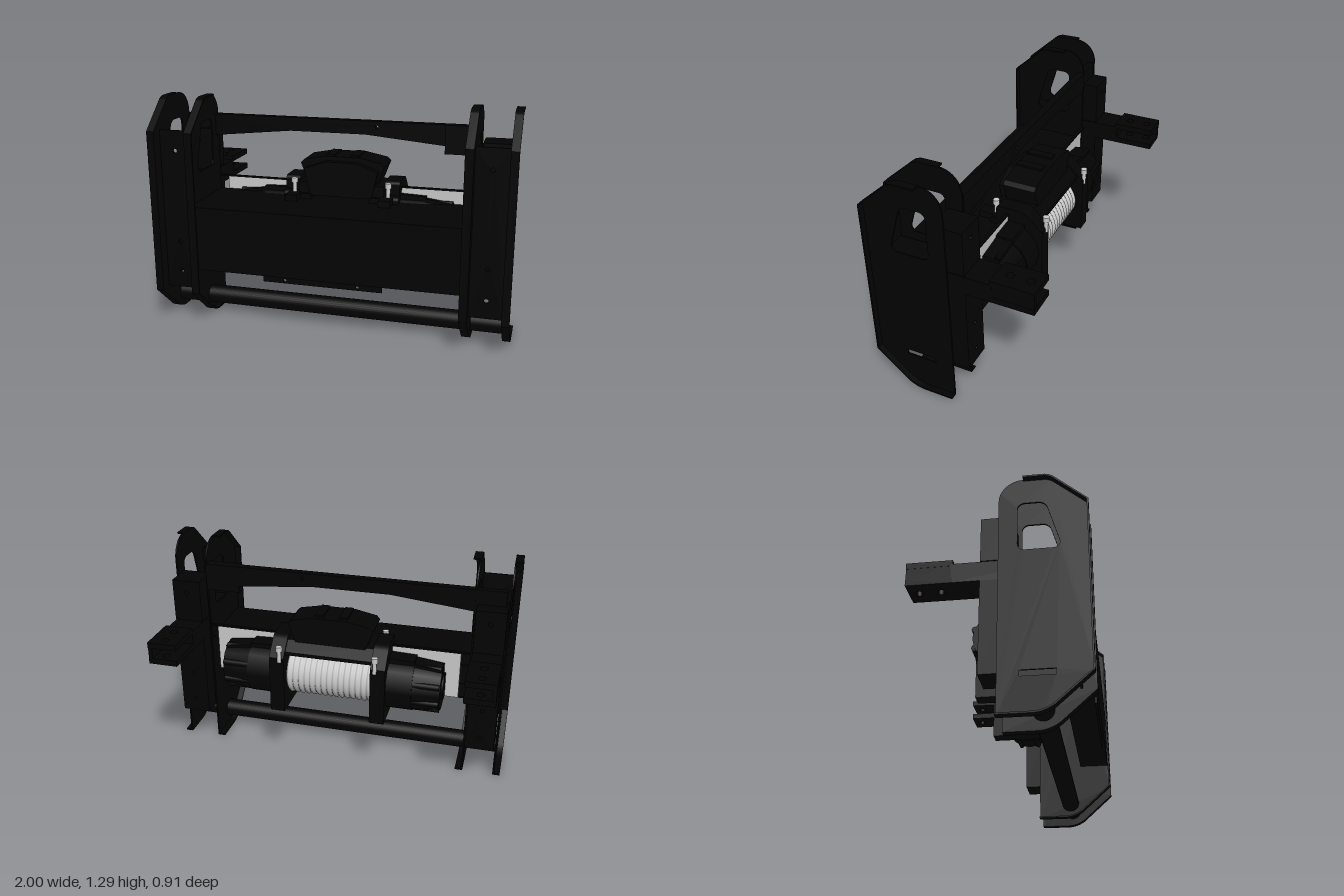
import * as THREE from 'three';

const black = new THREE.MeshStandardMaterial({ color: 0x030303 });
const grey = new THREE.MeshStandardMaterial({ color: 0xcccccc });

export function createModel() {
  const root = new THREE.Group();

  const add = (name, geo, mat = black) => {
    const m = new THREE.Mesh(geo, mat);
    m.name = name;
    root.add(m);
    return m;
  };
  // box given by its limits on each axis
  const box = (name, x0, x1, y0, y1, z0, z1, mat) =>
    add(name, new THREE.BoxGeometry(Math.abs(x1 - x0), y1 - y0, z1 - z0)
      .translate((x0 + x1) / 2, (y0 + y1) / 2, (z0 + z1) / 2), mat);
  // cylinder lying along x
  const rod = (name, x0, x1, r0, r1, y, z, n = 32) =>
    add(name, new THREE.CylinderGeometry(r1, r0, x1 - x0, n)
      .rotateZ(-Math.PI / 2).translate((x0 + x1) / 2, y, z));
  // polygon with corners [x, y, radius]
  const trace = (path, pts) => {
    pts.forEach(([x, y, r = 0], i) => {
      const p = new THREE.Vector2(x, y);
      const toward = (q) => new THREE.Vector2(q[0], q[1]).sub(p).setLength(r).add(p);
      const a = toward(pts[(i + pts.length - 1) % pts.length]);
      const b = toward(pts[(i + 1) % pts.length]);
      if (i === 0) path.moveTo(a.x, a.y); else path.lineTo(a.x, a.y);
      if (r) {
        const k = 0.55;
        path.bezierCurveTo(a.x + (x - a.x) * k, a.y + (y - a.y) * k,
          b.x + (x - b.x) * k, b.y + (y - b.y) * k, b.x, b.y);
      }
    });
    path.closePath();
    return path;
  };
  const circle = (x, y, r) => new THREE.Path().absarc(x, y, r, 0, Math.PI * 2, true);
  const extrude = (pts, holes, depth) => {
    const s = trace(new THREE.Shape(), pts);
    s.holes.push(...holes);
    return new THREE.ExtrudeGeometry(s, { depth, bevelEnabled: false, curveSegments: 12 });
  };
  // profile drawn in (z, y), thickened along x from x0 to x1
  const sidePlate = (name, pts, holes, x0, x1) =>
    add(name, extrude(pts, holes, x1 - x0).rotateY(-Math.PI / 2).translate(x1, 0, 0));
  // profile drawn in (x, y), thickened along z
  const frontPlate = (name, pts, holes, z0, z1, mat) =>
    add(name, extrude(pts, holes, z1 - z0).translate(0, 0, z0), mat);

  // upright sheet outline and window
  const outline = [[0.005, 0], [0.235, 0, 0.06], [0.455, 0.195], [0.455, 1.12],
    [0.265, 1.29, 0.03], [0.005, 1.29, 0.125]];
  const windowPts = [[0.1, 0.87, 0.035], [0.1, 1.145, 0.035], [0.24, 1.145, 0.035], [0.32, 0.87, 0.045]];
  const slotPts = [[0.11, 0.195], [0.11, 0.225], [0.28, 0.225], [0.28, 0.195]];

  // flange strip: follows the bottom, front and top of the outline, open at the rear
  const edge = trace(new THREE.Path(), outline).getPoints(12).slice(0, -1)
    .filter((p) => p.y < 1 || p.x > 0.129);
  const inset = edge.map((p, i) => {
    const t = edge[Math.min(i + 1, edge.length - 1)].clone().sub(edge[Math.max(i - 1, 0)]).normalize();
    return [p.x - t.y * 0.009, p.y + t.x * 0.009];
  });
  const strip = [...edge.map((p) => [p.x, p.y]), ...inset.reverse()];

  for (const s of [-1, 1]) {
    const span = (a, b) => (s > 0 ? [a, b] : [-b, -a]);
    // pair of flanged sheets, flanges turned away from each other
    const opening = () => trace(new THREE.Path(), windowPts);
    sidePlate('outerSheet', outline, [opening(), trace(new THREE.Path(), slotPts)], ...span(0.957, 0.966));
    sidePlate('outerFlange', strip, [], ...span(0.96, 1));
    sidePlate('innerSheet', outline, [opening()], ...span(0.771, 0.78));
    sidePlate('innerFlange', strip, [], ...span(0.735, 0.777));

    // recessed web and rear mounting boxes, bored through
    const cx = s * 0.87;
    const column = (name, w, y0, y1, bores, z0, z1) =>
      frontPlate(name, [[cx - w, y0], [cx + w, y0], [cx + w, y1], [cx - w, y1]],
        bores.map((y) => circle(cx, y, 0.012)), z0, z1);
    column('uprightWeb', 0.092, 0.2, 1.12, [0.3, 0.475, 1.005], 0.375, 0.385);
    column('upperMountBox', 0.083, 0.83, 1.077, [1.005], -0.085, 0.08);
    column('lowerMountBox', 0.083, 0.22, 0.72, [0.3, 0.475], -0.085, 0.08);

    // towing arm ending in a drilled fork, closed on its outer side
    box('towArm', s * 0.787, s * 0.953, 0.72, 0.826, -0.23, 0.375);
    for (const y of [0.72, 0.815]) {
      const fork = extrude([[cx - 0.083, 0.22], [cx + 0.083, 0.22], [cx + 0.083, 0.455], [cx - 0.083, 0.455]],
        [circle(cx, 0.29, 0.021), circle(cx, 0.4, 0.021)], 0.033);
      add('towFork', fork.rotateX(-Math.PI / 2).translate(0, y, 0));
    }
    box('towForkWall', s * 0.93, s * 0.952, 0.722, 0.846, -0.454, -0.22);

    // winch backing panel with a folded top edge
    box('backingPanel', s * 0.3, s * 0.722, 0.5, 0.78, -0.012, 0.0, grey);
    box('panelEdge', s * 0.3, s * 0.772, 0.778, 0.787, -0.014, 0.004);
  }

  // folded bumper channel, open at the rear
  box('bumperFront', -0.772, 0.772, 0.34, 0.705, 0.433, 0.444);
  box('bumperTop', -0.772, 0.772, 0.694, 0.705, 0.005, 0.44);
  box('bumperBottom', -0.772, 0.772, 0.34, 0.351, 0.27, 0.44);
  frontPlate('lowerTab', [[-0.35, 0.305], [0.32, 0.305], [0.32, 0.36], [-0.35, 0.36]],
    [circle(-0.225, 0.322, 0.009), circle(0.185, 0.322, 0.009)], 0.423, 0.434);

  // arched top bar with its end bracket
  frontPlate('topBar', [[-0.772, 1.035], [-0.31, 1.083], [0.13, 1.083], [0.58, 1.042], [0.772, 1.03],
    [0.772, 1.16], [-0.772, 1.16]], [circle(0.195, 1.128, 0.01)], 0, 0.045);
  box('topBarBracket', 0.58, 0.772, 1.0, 1.16, 0.005, 0.06);
  box('topBarEnd', -0.94, -0.77, 1.05, 1.16, 0.005, 0.045);

  // lower tube
  rod('lowerTube', -0.966, 0.966, 0.053, 0.053, 0.098, 0.2);

  // fairlead ring and its carrier behind the bumper face
  const slot = trace(new THREE.Path(), [[-0.24, 0.475, 0.034], [0.24, 0.475, 0.034], [0.24, 0.545, 0.034], [-0.24, 0.545, 0.034]]);
  frontPlate('fairlead', [[-0.32, 0.435, 0.07], [0.32, 0.435, 0.07], [0.32, 0.585, 0.07], [-0.32, 0.585, 0.07]],
    [slot], 0.28, 0.33, grey);
  box('fairleadCarrier', -0.36, 0.36, 0.345, 0.7, 0.33, 0.341);

  // winch drum wound with rope
  const Y = 0.578, Z = -0.04;
  const wraps = 15, pitch = 0.5 / wraps, profile = [new THREE.Vector2(0, -0.25)];
  for (let i = 0; i < wraps; i++)
    for (const t of [0, 0.2, 0.5, 0.8])
      profile.push(new THREE.Vector2(0.125 + 0.015 * Math.sin(t * Math.PI), -0.25 + (i + t) * pitch));
  profile.push(new THREE.Vector2(0.125, 0.25), new THREE.Vector2(0, 0.25));
  add('ropeDrum', new THREE.LatheGeometry(profile, 40).rotateZ(-Math.PI / 2).translate(0, Y, Z), grey);

  // winch end housings, feet, ribs and bolts
  const foot = [[-0.215, 0.38], [0.06, 0.38], [0.1, 0.45], [0.1, 0.74, 0.02], [0.06, 0.745], [0.06, 0.825, 0.02],
    [-0.11, 0.825, 0.03], [-0.215, 0.72]];
  for (const s of [-1, 1]) {
    const span = (a, b) => (s > 0 ? [a, b] : [-b, -a]);
    sidePlate('winchFoot', foot, [], ...span(0.25, 0.335));
    rod('winchHousing', ...span(0.32, 0.48), 0.158, 0.158, Y, Z, 16);
    rod('winchEnd', ...span(0.47, 0.635), s > 0 ? 0.153 : 0.138, s > 0 ? 0.138 : 0.153, Y, Z, 16);
    for (let i = 0; i < 8; i++) {
      const a = i * Math.PI / 4 + Math.PI / 8;
      rod('housingRib', ...span(0.33, 0.63), 0.018, 0.018, Y + 0.137 * Math.sin(a), Z + 0.137 * Math.cos(a), 8);
    }
    rod('housingCap', ...span(0.63, 0.645), 0.08, 0.08, Y, Z, 24);
    // stepped top rail running down towards the housing end
    frontPlate('housingRail', [[s * 0.32, 0.66], [s * 0.635, 0.66], [s * 0.635, 0.71], [s * 0.48, 0.73],
      [s * 0.48, 0.742], [s * 0.32, 0.748]], [], -0.11, 0.03);
    box('footLug', s * 0.235, s * 0.305, 0.7, 0.74, 0.06, 0.18);
    box('innerLug', s * 0.17, s * 0.25, 0.7, 0.735, 0.06, 0.11);
    for (const [z, y] of [[0.088, 0.765], [-0.212, 0.735]]) {
      add('boltShank', new THREE.CylinderGeometry(0.012, 0.012, 0.08, 12).translate(s * 0.275, y, z), grey);
      add('boltHead', new THREE.CylinderGeometry(0.018, 0.018, 0.03, 12).translate(s * 0.275, y + 0.042, z), grey);
    }
  }

  // control cover over the drum
  frontPlate('controlCover', [[-0.2, 0.725], [0.2, 0.725], [0.205, 0.8], [0.245, 0.905], [0.225, 0.925], [0.1, 0.95],
    [-0.1, 0.95], [-0.225, 0.925], [-0.245, 0.905], [-0.205, 0.8]], [], -0.128, 0.06);
  frontPlate('coverFace', [[-0.18, 0.725], [0.18, 0.725], [0.215, 0.88], [0.09, 0.925], [-0.09, 0.925], [-0.215, 0.88]],
    [], 0.05, 0.1);
  sidePlate('coverSkirt', [[0.09, 0.725], [0.09, 0.8], [-0.12, 0.8], [-0.175, 0.745], [-0.175, 0.725]], [], -0.25, 0.25);
  for (const x of [-0.07, 0.07]) box('coverPad', x - 0.025, x + 0.025, 0.945, 0.96, -0.1, 0.05);
  return root;
}
